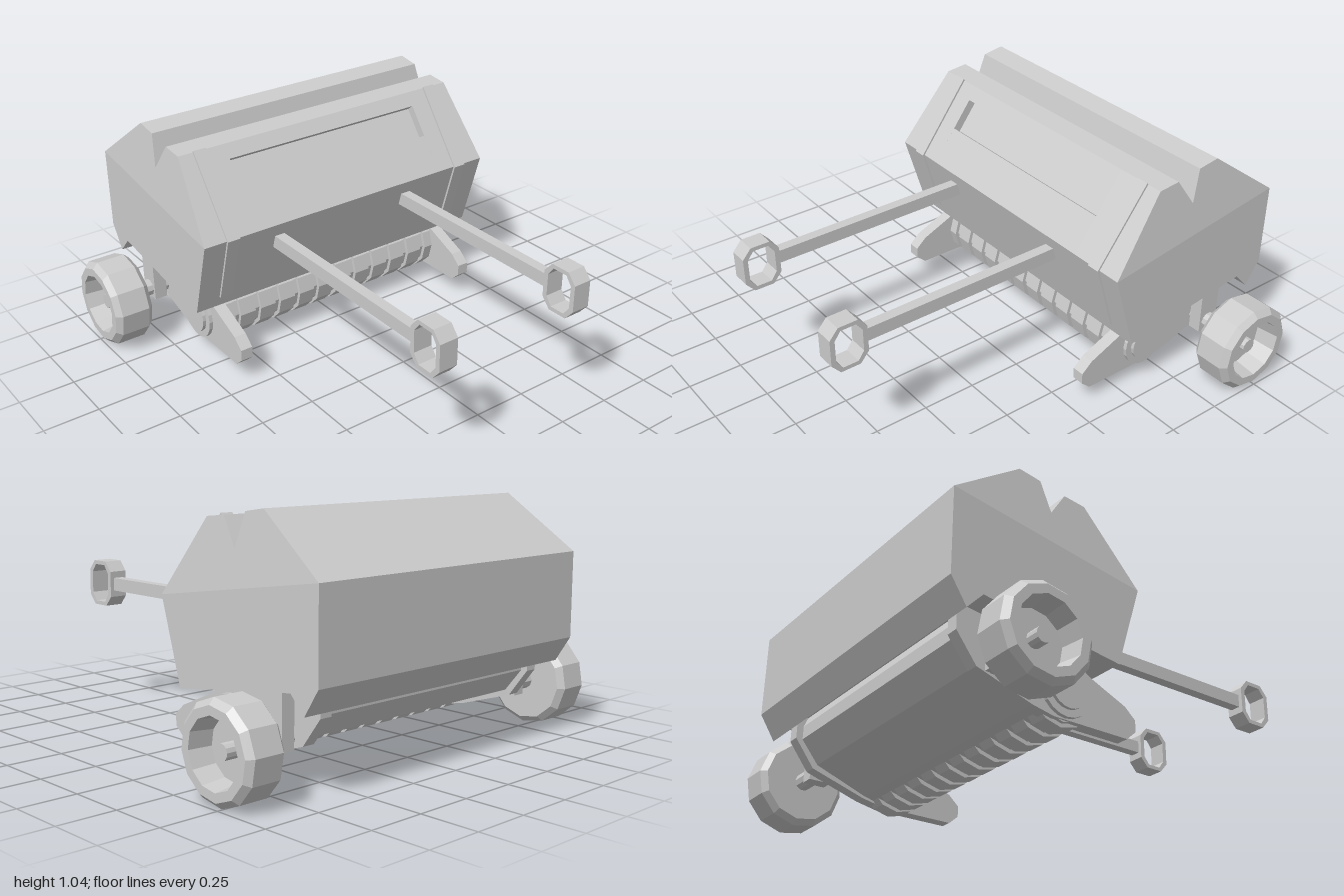
import * as THREE from 'three';

const MID = -0.012; // centre line of the housing
const material = new THREE.MeshStandardMaterial({ color: 0xcccccc, flatShading: true });

export function createModel() {
  const model = new THREE.Group();

  const add = (name, geometry, parent = model) => {
    const mesh = new THREE.Mesh(geometry, material);
    mesh.name = name;
    parent.add(mesh);
    return mesh;
  };
  const toPoints = (list) => list.map(([z, y]) => new THREE.Vector2(z, y));

  // Extrude a (z, y) side profile from x0 to x1
  const sideExtrude = (profile, x0, x1, hole) => {
    const shape = new THREE.Shape(toPoints(profile));
    if (hole) shape.holes.push(new THREE.Path(toPoints(hole)));
    return new THREE.ExtrudeGeometry(shape, { depth: x1 - x0, bevelEnabled: false })
      .rotateY(-Math.PI / 2).translate(x1, 0, 0);
  };
  // Cylinder lying along x
  const roller = (r, x0, x1, y, z, sides) =>
    new THREE.CylinderGeometry(r, r, x1 - x0, sides)
      .rotateZ(Math.PI / 2).translate((x0 + x1) / 2, y, z);

  // Housing: its ends lean inward above a crease running front to back
  const taperEnds = (geometry) => {
    const p = geometry.attributes.position;
    for (let i = 0; i < p.count; i++) {
      const x = p.getX(i) - MID;
      if (Math.abs(x) < 0.7) continue;
      const rise = p.getY(i) - (0.68 + (-0.11 - p.getZ(i)) * 0.148);
      p.setX(i, MID + Math.sign(x) * (0.757 - 0.13 * Math.max(0, rise)));
    }
    geometry.computeVertexNormals();
    return geometry;
  };
  const housing = new THREE.Group();
  housing.name = 'housing';
  model.add(housing);
  const top = [[-0.35, 1.0], [-0.45, 1.01], [-0.53, 0.89], [-0.57, 1.03],
    [-0.67, 1.045], [-0.99, 0.81]];
  const recess = [[-0.219, 0.825], [-0.251, 0.801], [-0.341, 0.921], [-0.309, 0.945]];
  const left = MID + 0.757, right = MID - 0.757;
  add('lowerHousing', taperEnds(sideExtrude([[-0.11, 0.68], [-0.99, 0.81], [-0.99, 0.44],
    [-0.92, 0.33], [-0.85, 0.405], [-0.22, 0.32]], right, left)), housing);
  add('upperHousingRight', taperEnds(sideExtrude([[-0.11, 0.68], ...top], right, -0.51)), housing);
  add('upperHousingWindow', sideExtrude([[-0.11, 0.68], ...recess, ...top], -0.51, 0.485), housing);
  add('upperHousingLeft', taperEnds(sideExtrude([[-0.11, 0.68], ...top], 0.485, left)), housing);

  // Paired straps on the housing front, skids and drum ends
  const strap = [[-0.194, 0.37], [-0.1, 0.68], [-0.345, 1.008], [-0.36, 0.99],
    [-0.13, 0.68], [-0.22, 0.37]];
  const skid = [[-0.05, 0.17], [-0.1, 0.215], [-0.27, 0.288], [-0.36, 0.345], [-0.6, 0.39],
    [-0.84, 0.415], [-0.89, 0.37], [-0.89, 0.3], [-0.8, 0.18], [-0.55, 0.1], [-0.45, 0.08],
    [-0.095, 0.08], [-0.05, 0.12]];
  for (const s of [-1, 1]) {
    const x = MID + s * 0.62;
    add('frontStrap', sideExtrude(strap, x - 0.03, x + 0.03));
    add('skidPlate', sideExtrude(skid, x - 0.028, x + 0.028));
    const a = MID + s * 0.64, b = MID + s * 0.665, c = MID + s * 0.68;
    add('drumFlange', roller(0.115, Math.min(a, b), Math.max(a, b), 0.2, -0.4, 20));
    add('drumCap', roller(0.085, Math.min(a, c), Math.max(a, c), 0.2, -0.4, 20));
  }

  // Pickup drum with ribs and the sloping floor behind it
  add('pickupDrum', roller(0.128, MID - 0.64, MID + 0.64, 0.2, -0.4, 12));
  const ribs = 12, pitch = 1.28 / ribs;
  for (let i = 0; i < ribs; i++) {
    const x = MID - 0.64 + pitch * (i + 0.5);
    add('drumRib', roller(0.145, x - 0.039, x + 0.039, 0.2, -0.4, 12));
  }
  add('floor', sideExtrude([[-0.4, 0.34], [-0.84, 0.41], [-0.86, 0.36], [-0.86, 0.3],
    [-0.78, 0.2], [-0.54, 0.11], [-0.42, 0.08]], MID - 0.63, MID + 0.63));

  // Wheels: closed inner face, hollow outer face with a hub
  const wheelProfile = [[0, 0.82], [0.175, 0.82], [0.2, 0.845], [0.2, 0.975], [0.175, 1],
    [0.138, 1], [0.125, 0.9], [0.033, 0.9], [0.033, 0.96], [0, 0.96]]
    .map(([r, x]) => new THREE.Vector2(r, x));
  for (const s of [-1, 1]) {
    const wheel = new THREE.Group();
    wheel.name = s > 0 ? 'leftWheel' : 'rightWheel';
    wheel.position.set(0, 0.206, -0.725);
    model.add(wheel);
    add('tyreAndRim', new THREE.LatheGeometry(wheelProfile, 12)
      .rotateY(0.09).rotateZ(-s * Math.PI / 2), wheel);
    add('axle', new THREE.CylinderGeometry(0.039, 0.039, 0.2, 10)
      .rotateZ(Math.PI / 2).translate(s * 0.74, 0, 0), wheel);
    add('axleStrut', new THREE.BoxGeometry(0.06, 0.27, 0.1)
      .translate(s * 0.697 + MID, 0.09, 0), wheel);
  }

  // Drawbars ending in chamfered eyes
  const eye = (z, y, cz, cy) => [[z, cy], [cz, y], [-cz, y], [-z, cy],
    [-z, -cy], [-cz, -y], [cz, -y], [z, -cy]].map(([a, b]) => [a + 0.905, b + 0.59]);
  for (const x of [-0.39, 0.303]) {
    add('drawbar', new THREE.BoxGeometry(0.048, 0.06, 0.98).translate(x, 0.59, 0.335));
    add('drawbarEye', sideExtrude(eye(0.085, 0.106, 0.045, 0.06), x - 0.043, x + 0.043,
      eye(0.063, 0.088, 0.035, 0.05)));
  }
  return model;
}
